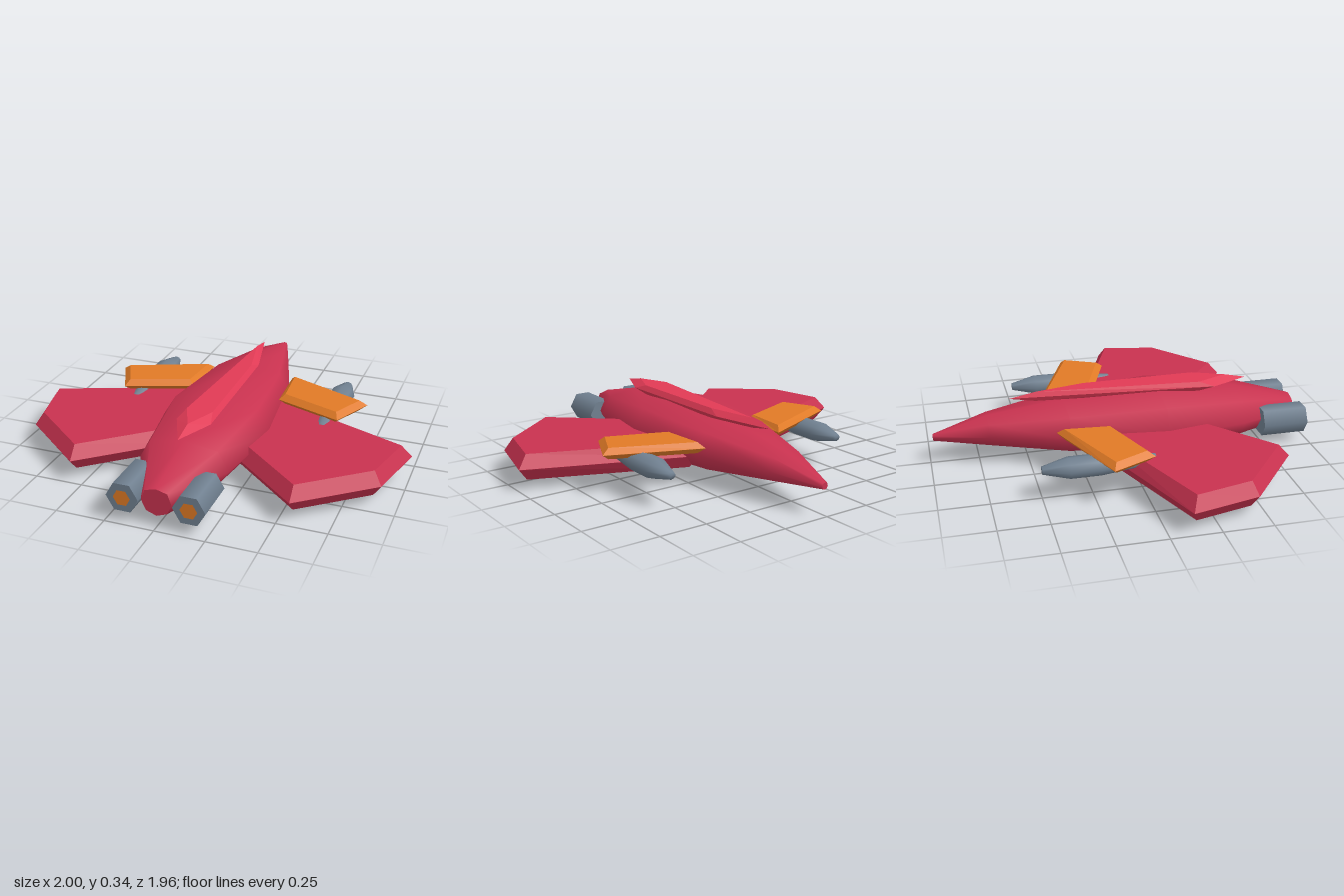
import * as THREE from 'three';
import { ConvexGeometry } from 'three/addons/geometries/ConvexGeometry.js';

const paint = (color, flatShading = false) =>
  new THREE.MeshStandardMaterial({ color, flatShading });
const red = paint(0xc8324f);
const redFlat = paint(0xc8324f, true);
const canopyRed = paint(0xe03a55, true);
const orange = paint(0xe07a26, true);
const steel = paint(0x708090);

function add(parent, name, geometry, material) {
  const mesh = new THREE.Mesh(geometry, material);
  mesh.name = name;
  parent.add(mesh);
  return mesh;
}

// Horizontal plate with a pointed, bevelled rim; outline is [x, z] pairs.
function plate(outline, side, y, half, inset) {
  const shape = new THREE.Shape(outline.map(([x, z]) => new THREE.Vector2(x * side, -z)));
  const geo = new THREE.ExtrudeGeometry(shape, {
    depth: 0.001, bevelEnabled: true, bevelSegments: 1,
    bevelThickness: half, bevelSize: inset, bevelOffset: -inset,
  });
  return geo.rotateX(-Math.PI / 2).translate(0, y, 0);
}

// Eight-sided hull lofted through rings of [z, half width, bottom, top].
function hull(rings) {
  const section = [[1, 0], [0.75, 0.78], [0, 1], [-0.75, 0.78],
    [-1, 0], [-0.7, -0.72], [0, -1], [0.7, -0.72]];
  const n = section.length, pos = [], index = [];
  const pushRing = ([z, w, lo, hi]) => {
    for (const [u, v] of section) pos.push(u * w, (lo + hi) / 2 + v * (hi - lo) / 2, z);
  };
  rings.forEach(pushRing);
  for (let i = 0; i < rings.length - 1; i++) {
    for (let j = 0; j < n; j++) {
      const a = i * n + j, b = i * n + (j + 1) % n;
      index.push(a, b, b + n, a, b + n, a + n);
    }
  }
  // End caps use their own corners so the rims stay sharp.
  for (const [ring, rear] of [[rings[0], false], [rings[rings.length - 1], true]]) {
    const s = pos.length / 3;
    pushRing(ring);
    for (let j = 1; j < n - 1; j++) {
      if (rear) index.push(s, s + j, s + j + 1);
      else index.push(s, s + j + 1, s + j);
    }
  }
  const geo = new THREE.BufferGeometry();
  geo.setAttribute('position', new THREE.Float32BufferAttribute(pos, 3));
  geo.setIndex(index);
  geo.computeVertexNormals();
  return geo;
}

export function createModel() {
  const ship = new THREE.Group();
  ship.name = 'starfighter';

  add(ship, 'fuselage', hull([
    [-0.98, 0.017, 0.128, 0.163], [-0.7, 0.11, 0.085, 0.24], [-0.3, 0.24, 0.035, 0.292],
    [0.2, 0.3, 0.003, 0.32], [0.63, 0.23, 0.028, 0.282], [0.96, 0.075, 0.06, 0.2],
  ]), red);

  // Faceted canopy ridge: widest at mid height, shrinking to top and bottom faces.
  const ridge = [[0, -0.58], [0.075, -0.25], [0.087, 0.5], [0, 0.7], [-0.09, 0.5]];
  const points = [];
  for (const [x, z] of ridge) {
    points.push(new THREE.Vector3(x, 0.32, z));
    for (const y of [0.295, 0.346]) {
      points.push(new THREE.Vector3(x * 0.76, y, 0.1 + (z - 0.1) * 0.8));
    }
  }
  add(ship, 'canopy', new ConvexGeometry(points), canopyRed);

  const wing = [[0.15, -0.22], [1, 0.11], [0.92, 0.45], [0.56, 0.74], [0.15, 0.385]];
  const canard = [[0.232, -0.375], [0.7, -0.185], [0.595, 0.04], [0.245, -0.09]];
  const pod = [[0, -0.5], [0.025, -0.5], [0.068, -0.37], [0.068, -0.22], [0.032, 0.06], [0, 0.06]];

  for (const side of [1, -1]) {
    const label = side > 0 ? 'left' : 'right';

    add(ship, label + 'Wing', plate(wing, side, 0.117, 0.066, 0.045), redFlat);
    add(ship, label + 'Canard', plate(canard, side, 0.212, 0.028, 0.03), orange);

    // Slightly flattened pod slung under the canard
    const podGeo = new THREE.LatheGeometry(pod.map(p => new THREE.Vector2(...p)), 8);
    podGeo.rotateX(Math.PI / 2).scale(1, 0.75, 1).translate(side * 0.52, 0.164, 0);
    add(ship, label + 'Pod', podGeo, steel);

    // Hexagonal engine with a glowing nozzle
    const engine = new THREE.Group();
    engine.name = label + 'Engine';
    engine.position.set(side * 0.165, 0.13, 0);
    const casing = new THREE.CylinderGeometry(0.081, 0.081, 0.24, 6);
    casing.rotateY(Math.PI / 6).rotateX(Math.PI / 2).translate(0, 0, 0.856);
    add(engine, 'casing', casing, steel);
    add(engine, 'nozzleGlow', new THREE.CircleGeometry(0.043, 6).translate(0, 0, 0.979), orange);
    ship.add(engine);
  }
  return ship;
}
